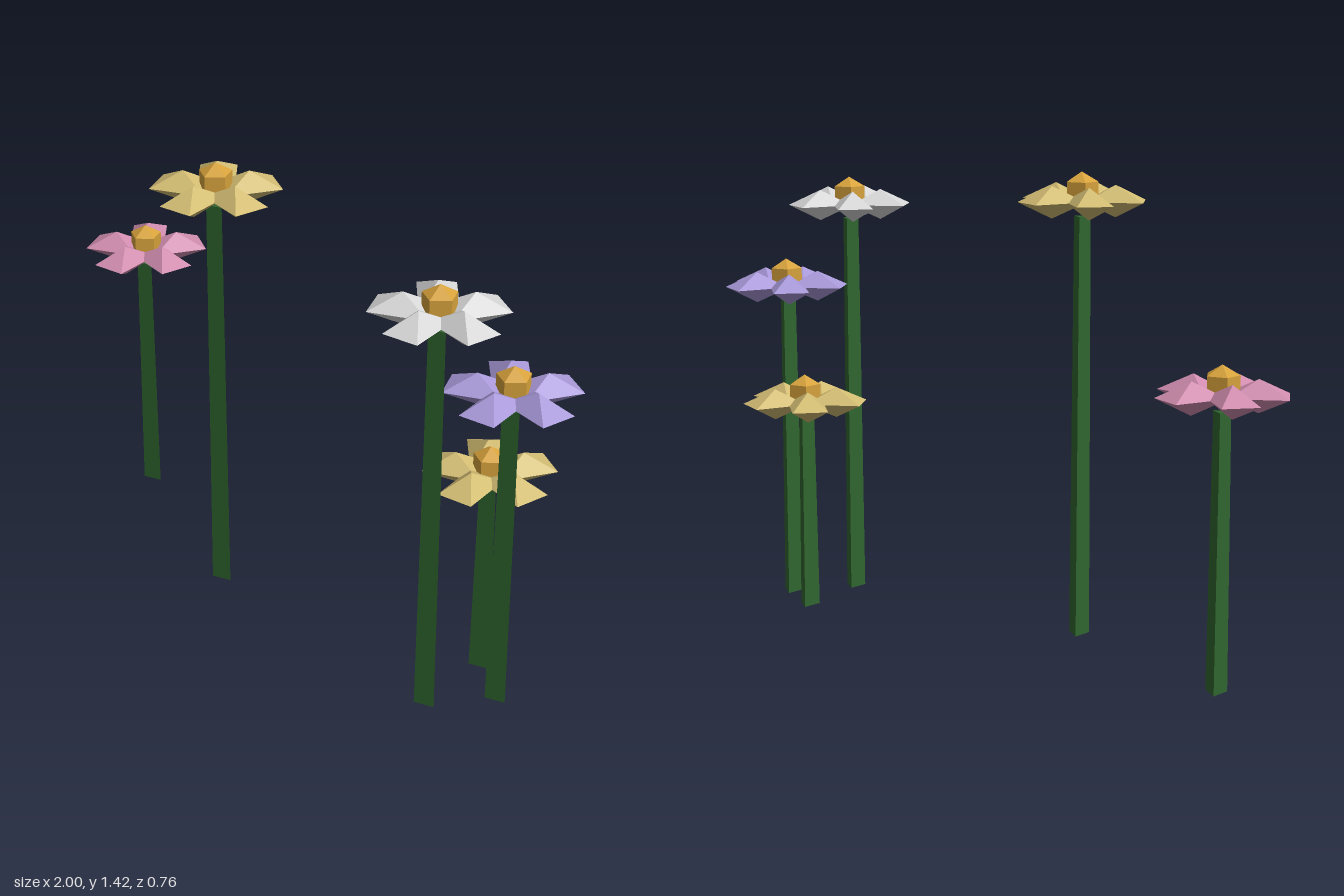
import * as THREE from 'three';

const makeMaterial = (name, color) => {
  const m = new THREE.MeshStandardMaterial({ color, flatShading: true });
  m.name = name;
  return m;
};

const PETALS = 5;

// x, z, height of the petal ring, petal colour
const FLOWERS = [
  ['pink', -0.817, 0.043, 0.858],
  ['straw', -0.173, 0.183, 1.335],
  ['white', 0.711, 0.061, 1.27],
  ['violet', 0.814, -0.121, 1.015],
  ['straw', 0.659, -0.187, 0.667],
];

export function createModel() {
  const model = new THREE.Group();
  model.name = 'flowerPatch';

  const stemMat = makeMaterial('stem green', 0x30662f);
  const heartMat = makeMaterial('heart gold', 0xd6a23c);
  const petalMats = {
    pink: makeMaterial('petal pink', 0xd08cae),
    straw: makeMaterial('petal straw', 0xd2bc72),
    white: makeMaterial('petal white', 0xd6d6d6),
    violet: makeMaterial('petal violet', 0xa898d8),
  };

  // Petal: a flat double pyramid on a rectangular girdle, pointing along +x
  const petalGeo = new THREE.OctahedronGeometry(1, 0);
  petalGeo.rotateY(Math.PI / 4);
  petalGeo.scale(0.085 * Math.SQRT2, 0.048, 0.055 * Math.SQRT2);
  petalGeo.translate(0.101, 0, 0);

  // Heart: a five-sided faceted bead with one corner on +x
  const heartGeo = new THREE.SphereGeometry(0.058, 5, 3);
  heartGeo.rotateY(Math.PI);

  for (const [colour, x, z, y] of FLOWERS) {
    const flower = new THREE.Group();
    flower.name = colour + 'Flower';
    flower.position.set(x, 0, z);

    // Three-sided tapering stem, ending just below the petals
    const height = y - 0.046;
    const stem = new THREE.Mesh(
      new THREE.CylinderGeometry(0.029, 0.036, height, 3, 1, false, Math.PI / 2), stemMat);
    stem.name = 'stem';
    stem.position.y = height / 2;
    flower.add(stem);

    const heart = new THREE.Mesh(heartGeo, heartMat);
    heart.name = 'heart';
    heart.position.y = y + 0.028;
    flower.add(heart);

    // Ring of petals
    for (let i = 0; i < PETALS; i++) {
      const petal = new THREE.Mesh(petalGeo, petalMats[colour]);
      petal.name = 'petal';
      petal.position.y = y;
      petal.rotation.y = (i / PETALS) * Math.PI * 2;
      flower.add(petal);
    }
    model.add(flower);
  }
  return model;
}
